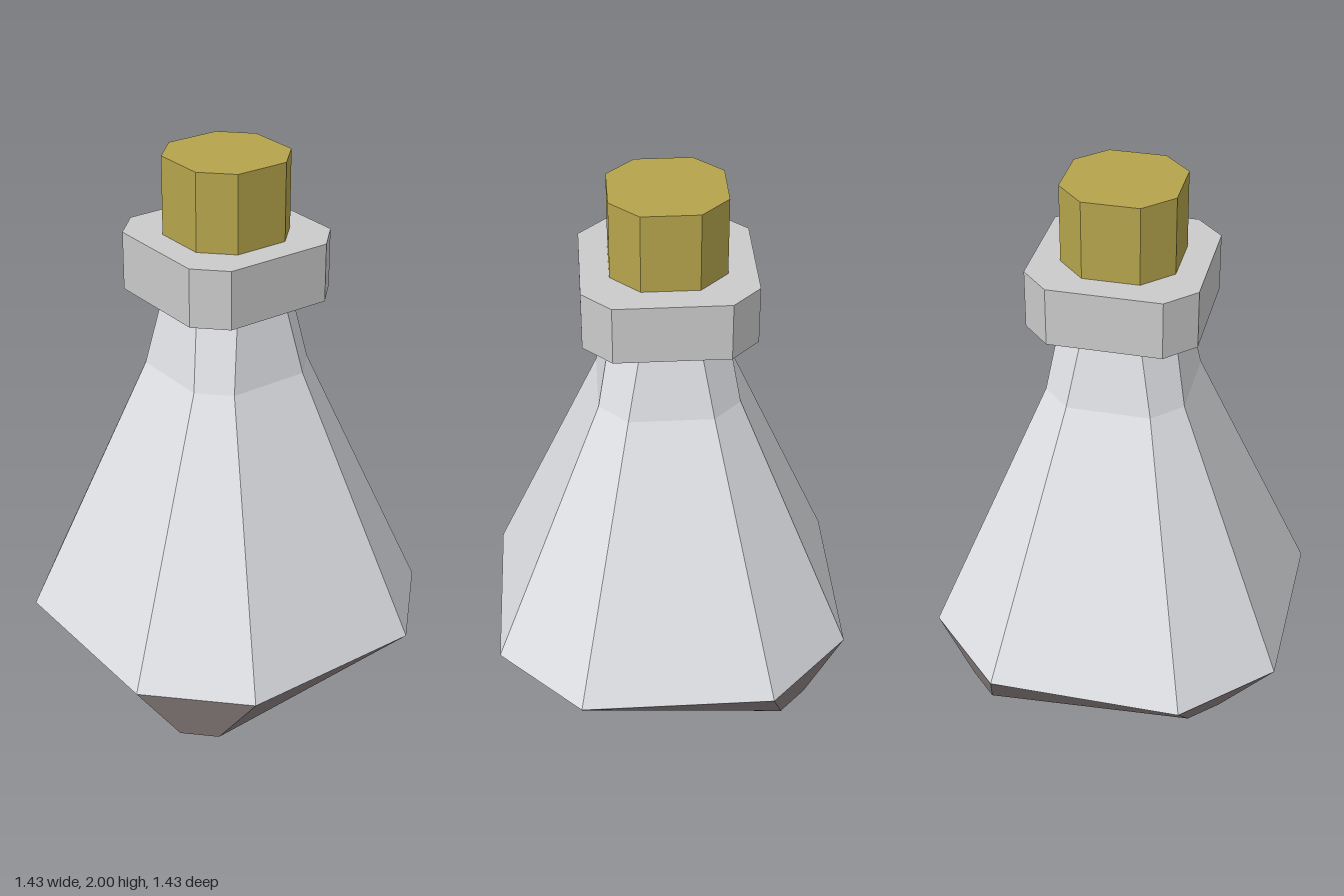
import * as THREE from 'three';

const U = 1 / 14; // design grid unit

// Eight-sided ring: half width w, half depth d, half length s of the axis-facing sides
function ring([y, w, d, s]) {
  return [[-w, s], [-s, d], [s, d], [w, s], [w, -s], [s, -d], [-s, -d], [-w, -s]]
    .map(([x, z]) => new THREE.Vector3(x, y, z).multiplyScalar(U));
}

// Flat-faced skin through rings [y, w, d, s]; a ring of zero size closes an end
function shell(name, color, sections) {
  const rings = sections.map(ring);
  const points = [];
  const addTriangle = (a, b, c) => {
    if (new THREE.Triangle(a, b, c).getArea() > 1e-8) points.push(a, b, c);
  };
  for (let r = 0; r < rings.length - 1; r++) {
    const low = rings[r], high = rings[r + 1];
    for (let i = 0; i < 8; i++) {
      const j = (i + 1) % 8;
      addTriangle(low[i], low[j], high[i]);
      addTriangle(low[j], high[j], high[i]);
    }
  }
  const geometry = new THREE.BufferGeometry().setFromPoints(points);
  geometry.computeVertexNormals();
  const mesh = new THREE.Mesh(geometry, new THREE.MeshStandardMaterial({
    color, flatShading: true, side: THREE.DoubleSide,
  }));
  mesh.name = name;
  return mesh;
}

export function createModel() {
  const bottle = new THREE.Group();
  bottle.name = 'bottle';
  bottle.add(
    // dark foot: open underneath, closed by a floor at its widest ring
    shell('base', 0x908484, [[0, 8, 9, 1], [3, 10, 10, 3], [3, 0, 0, 0]]),
    // tapering body and neck
    shell('body', 0xe0e2e6, [[3, 10, 10, 3], [17, 4, 4, 1], [21, 3, 3, 1]]),
    // collar: outer wall and top rim, open underneath
    shell('collar', 0xe1e1e2, [[21, 5, 5, 1], [24, 5, 5, 1], [24, 3, 3, 1]]),
    // stopper rising from the neck
    shell('cork', 0xb6a54c, [[21, 3, 3, 1], [28, 3, 3, 1], [28, 0, 0, 0]]),
  );
  return bottle;
}
